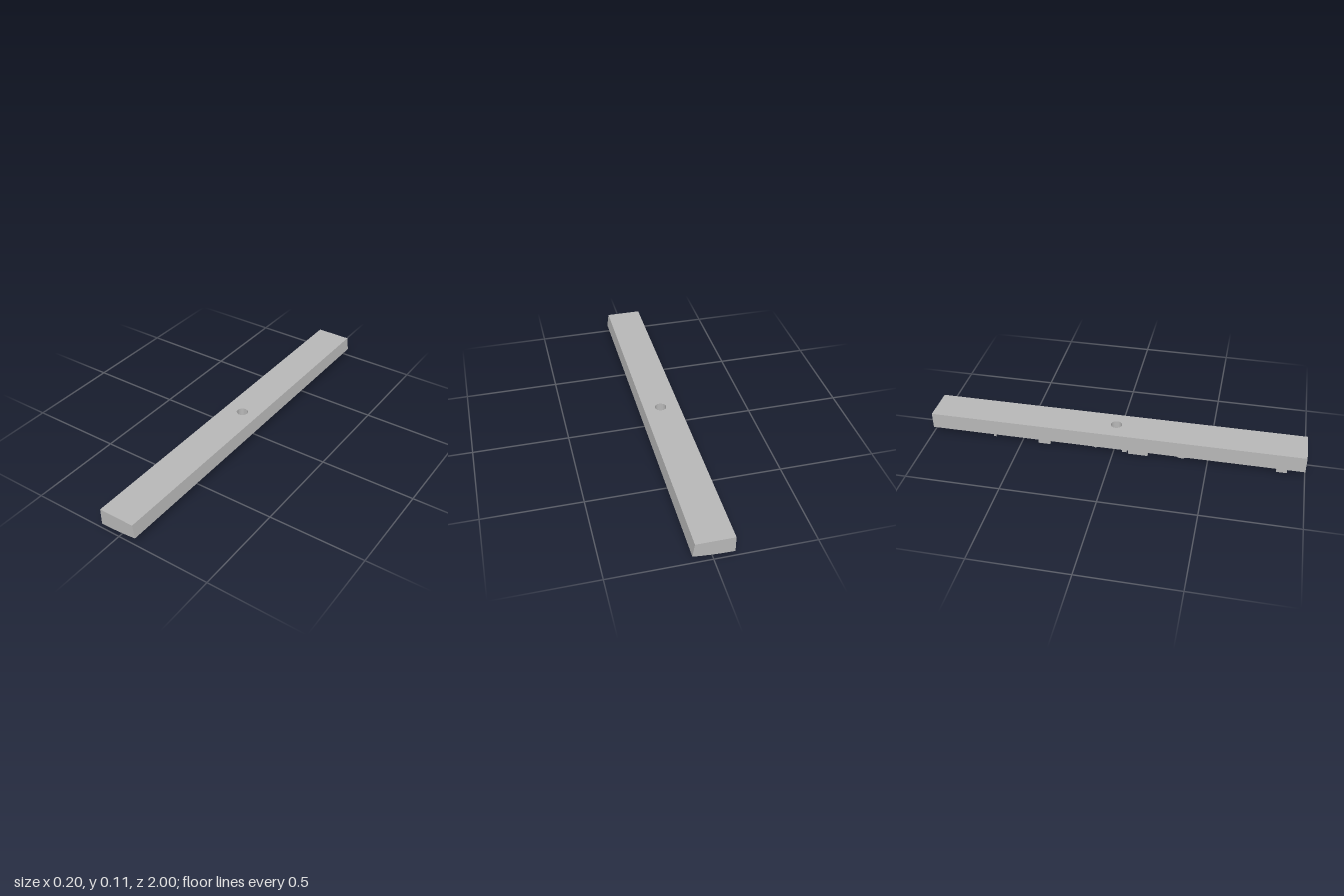
import * as THREE from 'three';
import { toCreasedNormals } from 'three/addons/utils/BufferGeometryUtils.js';

const TOP = 0.115;
const MID = 0.05; // half length of the block that holds the bore
const RIDGE = 0.028;

// gently curved underside of the bar
const underside = (x) => 0.028 + 0.35 * (x + 0.1) ** 2;

// Extrude a plan outline (x, -z) upwards, then move each end to a height rule
function plate(shape, low, high, fixX = (x) => x) {
  const geo = new THREE.ExtrudeGeometry(shape, { depth: 1, bevelEnabled: false, curveSegments: 20 });
  geo.rotateX(-Math.PI / 2);
  const p = geo.attributes.position;
  for (let i = 0; i < p.count; i++) {
    const x = p.getX(i);
    const upper = p.getY(i) > 0.5;
    p.setXYZ(i, upper ? fixX(x) : x, upper ? high(x) : low(x), p.getZ(i));
  }
  return toCreasedNormals(geo, 0.5);
}

function rectangle(x0, x1, z0, z1) {
  return new THREE.Shape([
    new THREE.Vector2(x0, -z1), new THREE.Vector2(x1, -z1),
    new THREE.Vector2(x1, -z0), new THREE.Vector2(x0, -z0),
  ]);
}

// Ring sector, angles in degrees: 0 is +x, 90 is -z
function ringSector(x, z, inner, outer, from, to) {
  const a = THREE.MathUtils.degToRad(from);
  const b = THREE.MathUtils.degToRad(to);
  const s = new THREE.Shape();
  s.absarc(x, -z, outer, a, b, false);
  s.absarc(x, -z, inner, b, a, true);
  s.closePath();
  return s;
}

export function createModel() {
  const group = new THREE.Group();
  const grey = new THREE.MeshStandardMaterial({ color: 0xb8b8b8 });
  grey.name = 'plain grey';
  const add = (name, geo) => {
    const mesh = new THREE.Mesh(geo, grey);
    mesh.name = name;
    group.add(mesh);
    return mesh;
  };

  // cross-section of the bar: flat top, slanted side, curved underside
  const steps = 12;
  const xs = Array.from({ length: steps + 1 }, (_, i) => -0.1 + (0.2 * i) / steps);
  const profile = new THREE.Shape([
    ...xs.map((x) => new THREE.Vector2(x, underside(x))),
    new THREE.Vector2(0.09, TOP), new THREE.Vector2(-0.1, TOP),
  ]);
  for (const [name, z] of [['barFront', MID], ['barBack', -1]]) {
    const geo = new THREE.ExtrudeGeometry(profile, { depth: 1 - MID, bevelEnabled: false });
    geo.translate(0, 0, z);
    add(name, toCreasedNormals(geo, 0.5));
  }

  // middle block with the round through bore
  const block = new THREE.Shape([
    ...xs.map((x) => new THREE.Vector2(x, -MID)),
    ...[...xs].reverse().map((x) => new THREE.Vector2(x, MID)),
  ]);
  block.holes.push(new THREE.Path().absarc(0, 0, 0.03, 0, Math.PI * 2, true));
  add('boredMiddle', plate(block, underside, () => TOP, (x) => Math.min(x, 0.09)));

  // raised ridges below the bar
  const low = (x) => underside(x) - RIDGE;
  const high = (x) => underside(x) + 0.004;

  // straight ridges: x0, x1, z0, z1
  const bars = [
    [-0.09, -0.078, 0.855, 0.91], [-0.058, -0.046, 0.855, 0.9], [-0.09, -0.046, 0.872, 0.885],
    [-0.02, 0.028, 0.548, 0.562],
    [0.014, 0.028, 0.3, 0.44],
    [-0.09, -0.075, 0.08, 0.185],
    [-0.08, -0.055, 0.045, 0.07],
    [-0.04, -0.027, -0.21, -0.165], [-0.07, -0.04, -0.11, -0.095],
    [-0.09, -0.075, -0.41, -0.345],
    [-0.055, -0.042, -0.7, -0.62], [-0.08, -0.042, -0.665, -0.652], [-0.035, -0.022, -0.7, -0.66],
    [-0.01, 0.018, -0.957, -0.937],
  ];
  bars.forEach((b, i) => add(`straightRidge${i + 1}`, plate(rectangle(...b), low, high)));

  // curved ridges: x, z, inner radius, outer radius, start and end angle
  const arcs = [
    [-0.03, 0.36, 0.03, 0.044, 110, 290],
    [-0.01, 0.335, 0.022, 0.034, -80, 100],
    [-0.03, -0.13, 0.042, 0.056, -90, 90],
    [-0.01, -0.632, 0.027, 0.04, -110, 110],
  ];
  arcs.forEach((a, i) => add(`curvedRidge${i + 1}`, plate(ringSector(...a), low, high)));

  return group;
}
